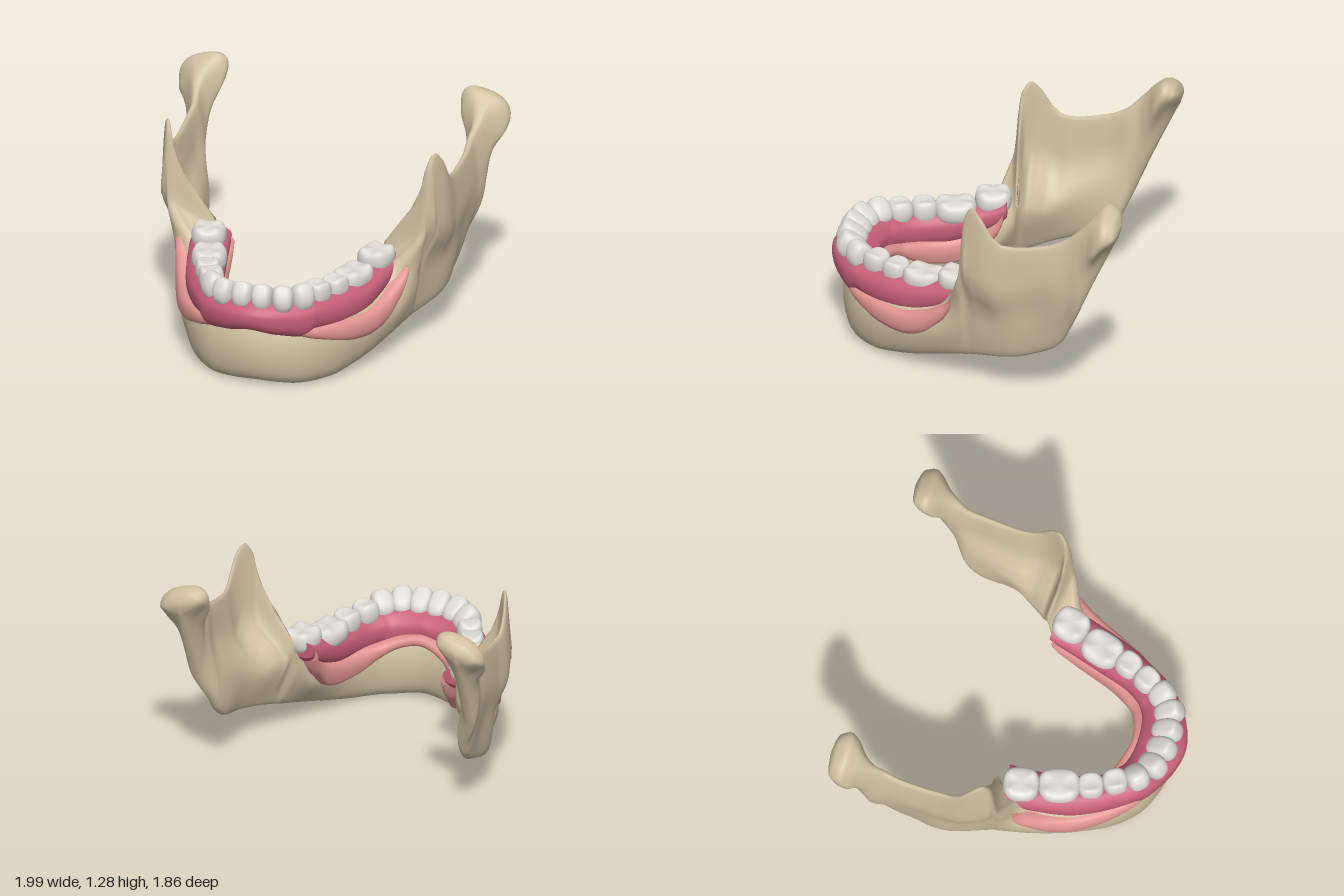
import * as THREE from 'three';

// Monotone cubic curve through [position, value] keys
function curve(keys) {
  const n = keys.length;
  const slope = i => (keys[i + 1][1] - keys[i][1]) / (keys[i + 1][0] - keys[i][0]);
  const tangent = i => {
    if (i === 0 || i === n - 1) return 0;
    const a = slope(i - 1), b = slope(i);
    return a * b <= 0 ? 0 : (2 * a * b) / (a + b);
  };
  return s => {
    if (s <= keys[0][0]) return keys[0][1];
    if (s >= keys[n - 1][0]) return keys[n - 1][1];
    let i = 0;
    while (s > keys[i + 1][0]) i++;
    const d = keys[i + 1][0] - keys[i][0], t = (s - keys[i][0]) / d;
    const t2 = t * t, t3 = t2 * t;
    return keys[i][1] * (2 * t3 - 3 * t2 + 1) + keys[i + 1][1] * (3 * t2 - 2 * t3)
      + d * (tangent(i) * (t3 - 2 * t2 + t) + tangent(i + 1) * (t3 - t2));
  };
}

// Upright sections swept from the back of the left side round the front, then mirrored.
// x, z, angle: path and outward direction. y0, y1: height range.
// Four levels (bottom, m1, m2, top) have half thickness h0..h3 and sideways shift c0, 0, c2, c3.
function archLoft(spec, from, to, steps, power, ring = 36) {
  const f = {};
  for (const k of ['x', 'z', 'angle', 'y0', 'y1', 'm1', 'm2', 'c0', 'c2', 'c3', 'shear']) f[k] = curve(spec[k] || [[0, 0]]);
  for (const k of ['h0', 'h1', 'h2', 'h3']) f[k] = curve(spec[k] || spec.h);
  const rows = [];
  for (let i = 0; i <= steps; i++) {
    const s = from + (to - from) * i / steps, p = {};
    for (const k in f) p[k] = f[k](s);
    const thick = curve([[0, p.h0], [p.m1, p.h1], [p.m2, p.h2], [1, p.h3]]);
    const shift = curve([[0, p.c0], [p.m1, 0], [p.m2, p.c2], [1, p.c3]]);
    const row = [];
    for (let j = 0; j < ring; j++) {
      const a = j / ring * Math.PI * 2, v = (1 - Math.cos(a)) / 2, sn = Math.sin(a);
      const side = Math.sign(sn) * Math.pow(Math.abs(sn), power) * thick(v), o = side + shift(v);
      row.push([p.x + o * Math.cos(p.angle), p.y0 + (p.y1 - p.y0) * v - p.shear * side, p.z + o * Math.sin(p.angle)]);
    }
    rows.push(row);
  }
  // closed end
  const mid = [0, 1, 2].map(k => rows[0].reduce((t, q) => t + q[k], 0) / ring);
  rows.unshift(rows[0].map(() => mid));
  for (let i = rows.length - 2; i >= 0; i--) rows.push(rows[i].map(q => [-q[0], q[1], q[2]]));
  const index = [];
  for (let i = 0; i < rows.length - 1; i++) for (let j = 0; j < ring; j++) {
    const k = (j + 1) % ring, a = i * ring + j, b = i * ring + k;
    index.push(a, b, a + ring, b, b + ring, a + ring);
  }
  const g = new THREE.BufferGeometry();
  g.setAttribute('position', new THREE.Float32BufferAttribute(rows.flat(2), 3));
  g.setIndex(index);
  g.computeVertexNormals();
  return g;
}

// Rounded crown: chisel edge for front teeth, cusps round a hollow for back teeth
function toothGeometry(width, depth, height, taper, cusps) {
  const g = new THREE.SphereGeometry(1, 32, 22), p = g.attributes.position;
  const sq = (v, e) => Math.sign(v) * Math.pow(Math.abs(v), e);
  for (let i = 0; i < p.count; i++) {
    const nx = p.getX(i), ny = p.getY(i), nz = p.getZ(i), up = Math.max(0, ny);
    const x = sq(nx, 0.75), z = sq(nz, 0.8);
    let y = sq(ny, 0.7);
    if (ny > 0 && cusps) {
      const r2 = nx * nx + nz * nz;
      y += ny * (-0.35 * (1 - r2) - 0.22 * r2 * Math.cos(cusps * Math.atan2(nz, nx)));
    }
    const neck = 1 - 0.22 * Math.max(0, -ny);
    p.setXYZ(i, x * width * neck, y * height, (z * (1 - taper * up) + taper * 0.55 * up) * depth * neck);
  }
  g.computeVertexNormals();
  return g;
}

export function createModel() {
  const paint = (name, color) => Object.assign(new THREE.MeshStandardMaterial({ color }), { name });
  const bone = paint('bone', 0xcfbfa0), gum = paint('gum', 0xc65f76);
  const palePink = paint('pale pink', 0xe0938f), enamel = paint('enamel', 0xdedbd4);
  const model = new THREE.Group();
  model.name = 'lowerJaw';
  const add = (name, geometry, material, parent = model) => {
    const m = new THREE.Mesh(geometry, material);
    m.name = name;
    parent.add(m);
    return m;
  };

  // Jaw bone: condyle, notch, coronoid spike, ramus, body and chin in one sweep
  add('jawBone', archLoft({
    x: [[-0.93, 0.85], [-0.7, 0.845], [-0.6, 0.81], [-0.5, 0.785], [-0.3, 0.75], [-0.1, 0.66], [0, 0.61], [0.2, 0.53], [0.4, 0.45], [0.6, 0.355], [0.8, 0.215], [1, 0], [1.2, -0.215]],
    z: [[-0.94, -0.94], [-0.93, -0.93], [-0.2, -0.2], [0, 0], [0.2, 0.22], [0.4, 0.42], [0.6, 0.58], [0.8, 0.7], [1, 0.755]],
    angle: [[-0.2, 0], [0, 0.2], [0.2, 0.4], [0.4, 0.47], [0.6, 0.65], [0.8, 1.1], [1, Math.PI / 2], [1.2, Math.PI - 1.1]],
    y0: [[-0.93, 1.17], [-0.92, 1.13], [-0.9, 1.09], [-0.77, 0.81], [-0.62, 0.465], [-0.57, 0.37], [-0.5, 0.31], [-0.07, 0.19], [0, 0.17], [0.4, 0.045], [0.6, 0.01], [0.8, 0.003], [1, 0.02]],
    y1: [[-0.93, 1.2], [-0.92, 1.225], [-0.9, 1.25], [-0.84, 1.27], [-0.77, 1.225], [-0.7, 1.15], [-0.6, 1.06], [-0.5, 1.015], [-0.3, 0.98], [-0.24, 0.985],
      [-0.18, 1.03], [-0.15, 1.08], [-0.12, 1.135], [-0.07, 1.19], [-0.03, 1.12], [-0.012, 0.95], [0, 0.76], [0.03, 0.66], [0.08, 0.55], [0.15, 0.47], [0.3, 0.44], [1, 0.44]],
    m1: [[-0.84, 0.3], [-0.5, 0.4], [-0.3, 0.35], [-0.07, 0.3], [0, 0.5], [0.2, 0.5]],
    m2: [[-0.84, 0.62], [-0.5, 0.7], [-0.3, 0.64], [-0.07, 0.55], [0, 0.72], [0.2, 0.75]],
    c0: [[-0.7, 0], [-0.6, -0.04], [-0.5, -0.03], [-0.3, 0.01], [-0.1, 0.03], [0.2, 0.02], [0.5, 0]],
    c2: [[-0.7, 0], [-0.5, 0.05], [-0.3, 0.07], [-0.1, 0.15], [-0.04, 0.15], [0, 0.04], [0.1, 0]],
    c3: [[-0.7, 0], [-0.5, 0.05], [-0.3, 0.08], [-0.1, 0.16], [0, 0.15], [0.1, 0.02], [0.2, -0.02], [1, 0]],
    h0: [[-0.93, 0.02], [-0.84, 0.04], [-0.6, 0.06], [-0.5, 0.06], [-0.1, 0.07], [0.4, 0.09], [1, 0.11]],
    h1: [[-0.93, 0.02], [-0.92, 0.07], [-0.9, 0.09], [-0.84, 0.07], [-0.7, 0.058], [-0.5, 0.06], [-0.3, 0.08], [-0.07, 0.115], [0, 0.125], [0.2, 0.115], [0.5, 0.1], [1, 0.105]],
    h2: [[-0.93, 0.02], [-0.92, 0.09], [-0.9, 0.125], [-0.84, 0.15], [-0.8, 0.14], [-0.74, 0.085], [-0.68, 0.055], [-0.5, 0.04], [-0.3, 0.04], [-0.05, 0.045], [0, 0.12], [0.2, 0.1], [1, 0.09]],
    h3: [[-0.93, 0.02], [-0.92, 0.08], [-0.9, 0.12], [-0.84, 0.165], [-0.8, 0.14], [-0.74, 0.08], [-0.66, 0.045], [-0.5, 0.035], [-0.1, 0.025], [0, 0.045], [0.15, 0.08], [1, 0.07]],
    shear: [[-0.8, 0.28], [-0.68, 0]],
  }, -0.93, 1, 240, 0.7), bone);

  // Pale flange seated on the bone
  add('paleFlange', archLoft({
    x: [[0, 0.54], [0.2, 0.51], [0.4, 0.445], [0.6, 0.345], [0.8, 0.22], [1, 0], [1.2, -0.22]],
    z: [[0, 0.06], [0.2, 0.21], [0.4, 0.4], [0.6, 0.56], [0.8, 0.675], [1, 0.735]],
    angle: [[0, 0.25], [0.2, 0.35], [0.4, 0.42], [0.6, 0.7], [0.8, 1.05], [1, Math.PI / 2], [1.2, Math.PI - 1.05]],
    y0: [[0, 0.47], [0.1, 0.36], [0.22, 0.245], [0.36, 0.205], [0.5, 0.215], [0.7, 0.275], [1, 0.36]],
    y1: [[0, 0.55], [0.1, 0.47], [0.22, 0.4], [0.4, 0.36], [0.7, 0.37], [1, 0.43]],
    m1: [[0, 0.3]],
    m2: [[0, 0.7]],
    c0: [[0, 0], [0.3, -0.01], [1, 0]],
    h: [[0, 0.168], [0.2, 0.15], [0.4, 0.138], [0.6, 0.13], [1, 0.125]],
  }, 0, 1, 80, 0.28), palePink);

  // Gum ridge holding the teeth
  add('gumRidge', archLoft({
    x: [[0, 0.515], [0.2, 0.48], [0.4, 0.43], [0.6, 0.35], [0.8, 0.222], [1, 0], [1.2, -0.222]],
    z: [[0, 0.02], [0.2, 0.2], [0.4, 0.39], [0.6, 0.57], [0.8, 0.715], [1, 0.79]],
    angle: [[0, 0.15], [0.2, 0.22], [0.4, 0.32], [0.6, 0.55], [0.8, 0.9], [1, Math.PI / 2], [1.2, Math.PI - 0.9]],
    y0: [[0, 0.49], [0.1, 0.43], [0.2, 0.38], [0.4, 0.32], [0.6, 0.325], [0.72, 0.34], [0.77, 0.305], [0.9, 0.33], [1, 0.36]],
    y1: [[0, 0.6], [0.2, 0.55], [0.4, 0.52], [0.6, 0.51], [0.8, 0.53], [1, 0.54]],
    m1: [[0, 0.35]],
    m2: [[0, 0.65]],
    h: [[0, 0.118], [0.2, 0.115], [0.4, 0.11], [0.6, 0.1], [0.8, 0.115], [1, 0.14]],
    h3: [[0, 0.1], [0.4, 0.09], [0.8, 0.085], [1, 0.1]],
  }, 0, 1, 80, 0.5), gum);

  // Teeth, front to back: x, z, facing angle, half width, half depth, top, taper, cusps
  const teeth = new THREE.Group();
  teeth.name = 'teeth';
  model.add(teeth);
  [
    ['centralIncisor', 0.056, 0.805, 1.5, 0.063, 0.092, 0.64, 0.7, 0],
    ['lateralIncisor', 0.168, 0.785, 1.2, 0.064, 0.09, 0.635, 0.65, 0],
    ['canine', 0.26, 0.715, 0.8, 0.068, 0.082, 0.63, 0.5, 0],
    ['frontPremolar', 0.32, 0.605, 0.5, 0.073, 0.074, 0.625, 0.15, 2],
    ['backPremolar', 0.382, 0.478, 0.38, 0.075, 0.074, 0.615, 0.1, 2],
    ['frontMolar', 0.432, 0.305, 0.28, 0.122, 0.102, 0.61, 0.08, 4],
    ['backMolar', 0.503, 0.1, 0.22, 0.105, 0.1, 0.66, 0.08, 4],
  ].forEach(([name, x, z, angle, w, d, top, taper, cusps]) => {
    const height = 0.09, geometry = toothGeometry(w, d, height, taper, cusps);
    for (const side of [1, -1]) {
      const t = add((side > 0 ? 'left ' : 'right ') + name, geometry, enamel, teeth);
      t.position.set(side * x, top - height, z);
      t.rotation.y = side * (Math.PI / 2 - angle);
    }
  });
  return model;
}
